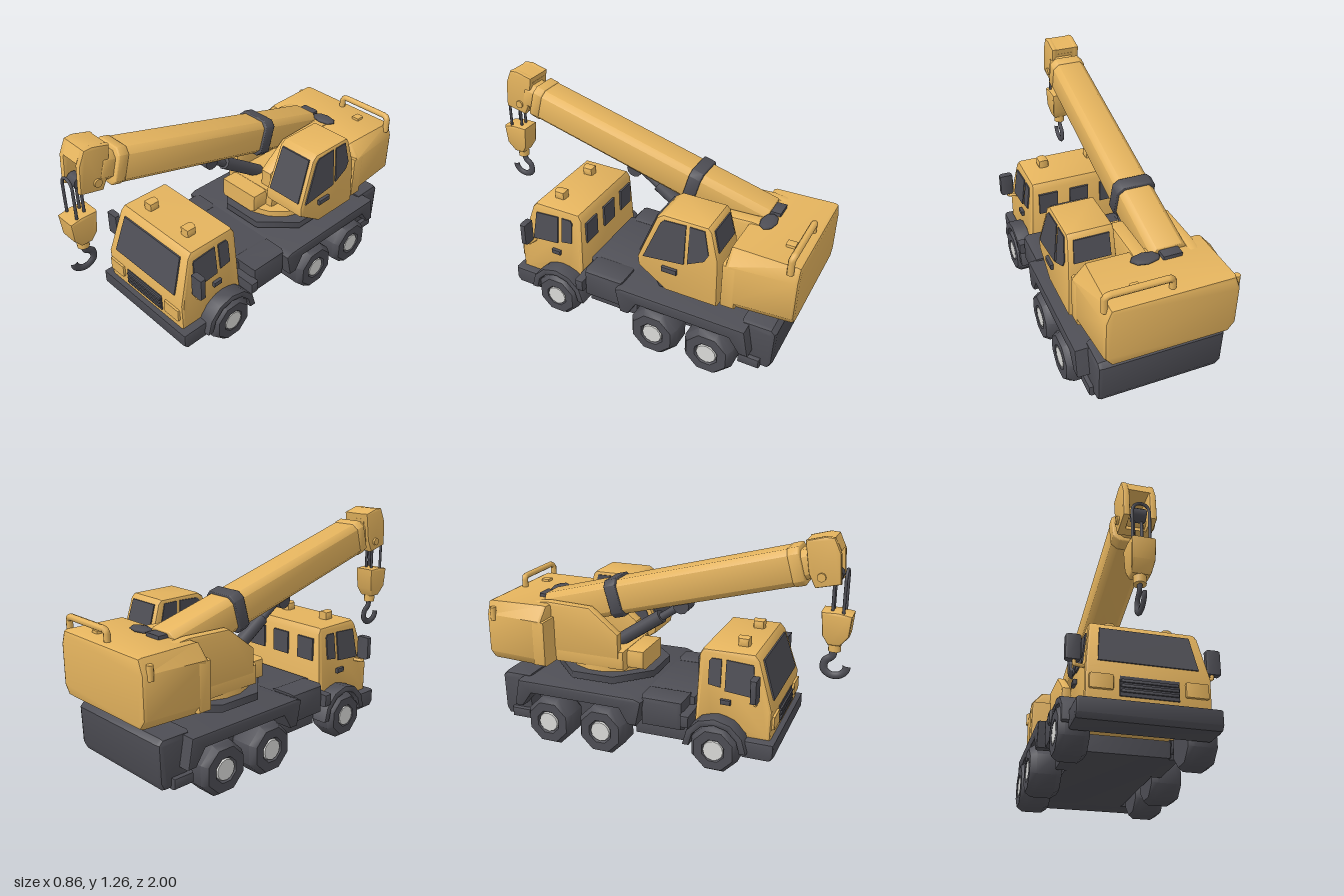
import * as THREE from 'three';
import { toCreasedNormals } from 'three/addons/utils/BufferGeometryUtils.js';

const mat = (name, color) => Object.assign(new THREE.MeshStandardMaterial({ color }), { name });

export function createModel() {
  const model = new THREE.Group();
  model.name = 'mobileCrane';
  const yellow = mat('craneYellow', 0xe5b45e);
  const dark = mat('darkGrey', 0x4e4e55);
  const light = mat('hubGrey', 0xdadad8);

  const add = (name, geo, material, parent = model) => {
    const m = new THREE.Mesh(geo, material);
    m.name = name;
    parent.add(m);
    return m;
  };
  const extrude = (pts, depth, bevel) => new THREE.ExtrudeGeometry(
    new THREE.Shape(pts.map(p => new THREE.Vector2(...p))),
    { depth: depth - 2 * bevel, bevelEnabled: bevel > 0, bevelSize: bevel, bevelThickness: bevel,
      bevelOffset: -bevel, bevelSegments: 2 }).translate(0, 0, bevel);
  // Side profile of [z, y] points, spread from x0 to x1
  const side = (pts, x0, x1, bevel = 0) =>
    toCreasedNormals(extrude(pts, x1 - x0, bevel).rotateY(-Math.PI / 2).translate(x1, 0, 0), 0.7);
  const rect = (a0, a1, b0, b1) => [[a0, b0], [a1, b0], [a1, b1], [a0, b1]];
  const box = (x0, x1, y0, y1, z0, z1, bevel = 0) => side(rect(z0, z1, y0, y1), x0, x1, bevel);
  // Move the vertices of a geometry by a rule
  const warp = (geo, rule) => {
    const p = geo.attributes.position, v = new THREE.Vector3();
    for (let i = 0; i < p.count; i++) {
      v.fromBufferAttribute(p, i);
      rule(v);
      p.setXYZ(i, v.x, v.y, v.z);
    }
    return toCreasedNormals(geo, 0.7);
  };
  const tube = (pts, r, curved = false) => {
    const v = pts.map(p => new THREE.Vector3(...p));
    let path = new THREE.CatmullRomCurve3(v);
    if (!curved) {
      path = new THREE.CurvePath();
      for (let i = 1; i < v.length; i++) path.add(new THREE.LineCurve3(v[i - 1], v[i]));
    }
    return new THREE.TubeGeometry(path, 40, r, 8);
  };
  const rod = (a, b, r) => {
    const A = new THREE.Vector3(...a), d = new THREE.Vector3(...b).sub(A);
    const q = new THREE.Quaternion().setFromUnitVectors(new THREE.Vector3(0, 1, 0), d.clone().normalize());
    return new THREE.CylinderGeometry(r, r, d.length(), 12).applyQuaternion(q).translate(...A.addScaledVector(d, 0.5).toArray());
  };
  const sides = [-1, 1];
  const span = (s, a, b) => s > 0 ? [a, b] : [-b, -a];

  // Chassis
  add('chassis', box(-0.25, 0.25, 0.1, 0.35, -0.9, 0.22, 0.02), dark);
  add('rearBox', side([[-0.74, 0.1], [-0.9, 0.1], [-0.92, 0.14], [-0.925, 0.34], [-0.9, 0.365], [-0.74, 0.365]], -0.345, 0.345, 0.025), dark);
  add('rearFenders', side([[-0.03, 0.34], [-0.07, 0.355], [-0.78, 0.355], [-0.81, 0.2], [-0.76, 0.2], [-0.7, 0.285], [-0.16, 0.285], [-0.11, 0.2], [-0.06, 0.2]], -0.413, 0.413, 0.01), dark);
  add('underPlate', box(-0.3, 0.3, 0.1, 0.19, -0.11, 0.2, 0.01), dark);
  add('crossBeam', box(-0.4, 0.4, 0.23, 0.3, 0.185, 0.235, 0.012), dark);
  for (const s of sides) {
    add('sideTank', box(...span(s, 0.2, 0.375), 0.19, 0.36, -0.05, 0.19, 0.03), dark);
    add('rearStep', box(...span(s, 0.28, 0.37), 0.1, 0.16, -0.86, -0.74, 0.015), dark);
    // Front wheel arch
    const arc = (r, i) => [0.37 + r * Math.cos(i * Math.PI / 6), 0.13 + r * Math.sin(i * Math.PI / 6)];
    const ring = [0, 1, 2, 3, 4, 5, 6];
    add('frontFender', side([...ring.map(i => arc(0.175, i)), ...ring.map(i => arc(0.138, 6 - i))], ...span(s, 0.25, 0.39), 0.006), dark);
  }

  // Wheels
  const wheel = (s, x, z, k, w) => {
    const g = new THREE.Group();
    g.name = 'wheel';
    const tyre = [[0, -0.09], [0.125, -0.09], [0.146, -0.06], [0.146, 0.05], [0.122, 0.085], [0.07, 0.085], [0.06, 0.07], [0, 0.07]]
      .map(([r, y]) => new THREE.Vector2(r * k, y * w));
    add('tyre', toCreasedNormals(new THREE.LatheGeometry(tyre, 8, Math.PI / 8), 0.82), dark, g);
    add('hub', new THREE.CylinderGeometry(0.055, 0.06, 0.02, 12).translate(0, 0.073 * w, 0), light, g);
    g.rotation.z = -s * Math.PI / 2;
    g.position.set(s * x, 0.135 * k, z);
    model.add(g);
  };
  for (const s of sides) {
    wheel(s, 0.322, 0.37, 0.94, 0.88);
    wheel(s, 0.345, -0.267, 1, 1);
    wheel(s, 0.345, -0.588, 1, 1);
  }

  // Driver cab, narrowing towards the roof
  const taper = geo => warp(geo, v => { if (v.y > 0.36) v.x *= 1 - 0.38 * (v.y - 0.36); });
  add('cab', taper(side([[0.65, 0.19], [0.655, 0.36], [0.575, 0.615], [0.55, 0.645], [0.27, 0.645], [0.25, 0.61], [0.235, 0.2],
    [0.245, 0.19], [0.27, 0.26], [0.33, 0.29], [0.41, 0.29], [0.48, 0.25], [0.5, 0.19]], -0.31, 0.31, 0.016)), yellow);
  add('cabFloor', box(-0.22, 0.22, 0.18, 0.36, 0.25, 0.63), yellow);
  add('bumper', side([[0.66, 0.095], [0.68, 0.12], [0.68, 0.195], [0.51, 0.195], [0.51, 0.095]], -0.355, 0.355, 0.015), dark);
  add('windscreen', taper(side([[0.644, 0.4], [0.652, 0.4], [0.587, 0.605], [0.575, 0.605]], -0.252, 0.252)), dark);
  add('grille', box(-0.145, 0.145, 0.225, 0.325, 0.645, 0.659), dark);
  for (const y of [0.25, 0.275, 0.3]) add('grilleBar', box(-0.14, 0.14, y - 0.007, y + 0.007, 0.655, 0.668, 0.003), dark);
  for (const x of [-0.19, 0, 0.19]) add('cabBackWindow', box(x - 0.057, x + 0.057, 0.455, 0.585, 0.235, 0.247), dark);
  for (const s of sides) {
    add('headlight', box(...span(s, 0.175, 0.292), 0.25, 0.325, 0.64, 0.667, 0.008), yellow);
    add('cabFrontWindow', taper(side([[0.545, 0.59], [0.4, 0.6], [0.4, 0.435], [0.565, 0.42]], ...span(s, 0.308, 0.316))), dark);
    add('cabRearWindow', taper(side([[0.375, 0.6], [0.32, 0.6], [0.308, 0.585], [0.308, 0.46], [0.375, 0.45]], ...span(s, 0.308, 0.316))), dark);
    add('cabDoorHandle', box(...span(s, 0.3, 0.322), 0.362, 0.39, 0.38, 0.435, 0.005), dark);
    add('mirror', box(...span(s, 0.312, 0.395), 0.42, 0.553, 0.555, 0.592, 0.015), dark);
    add('mirrorArm', tube([[s * 0.28, 0.4, 0.56], [s * 0.345, 0.4, 0.575], [s * 0.35, 0.44, 0.575]], 0.01), yellow);
    add('beacon', box(s * 0.15 - 0.033, s * 0.15 + 0.033, 0.635, 0.692, 0.425, 0.49, 0.02), yellow);
  }

  // Turntable and slewing body
  const disc = (name, r, y, h, n, m) => add(name, new THREE.CylinderGeometry(r, r, h, n).rotateY(Math.PI / n).translate(0, y, -0.37), m);
  disc('turntable', 0.324, 0.39, 0.04, 8, dark);
  disc('turntableHub', 0.24, 0.36, 0.05, 16, dark);
  disc('slewRing', 0.25, 0.425, 0.04, 16, yellow);
  add('slewBase', box(-0.25, 0.12, 0.43, 0.545, -0.7, -0.2, 0.02), yellow);
  add('slewNose', box(-0.2, 0.075, 0.43, 0.543, -0.26, -0.1, 0.025), yellow);
  const bracket = [[-0.23, 0.5], [-0.23, 0.64], [-0.4, 0.775], [-0.66, 0.785], [-0.78, 0.77], [-0.78, 0.5]];
  add('boomBracket', side(bracket, -0.255, -0.2, 0.01), yellow);
  add('boomBracket', side(bracket, 0, 0.075, 0.01), yellow);
  add('bodyFlange', box(-0.37, 0.37, 0.44, 0.7, -0.7, -0.62, 0.015), yellow);
  // Counterweight, narrowing to the rear, its top narrowing to the front
  add('counterweight', warp(extrude([[-0.33, 0.43], [0.33, 0.43], [0.37, 0.48], [0.37, 0.7], [0.34, 0.775], [-0.34, 0.775], [-0.37, 0.7], [-0.37, 0.48]], 0.365, 0.02).translate(0, 0, -1),
    v => { v.x *= 1 + 0.25 * Math.min(0, v.z + 0.7) - (v.y > 0.74 ? 0.3 * (v.z + 1) : 0); }), yellow);
  add('handRail', tube([[0.33, 0.74, -0.95], [0.33, 0.82, -0.95], [0.31, 0.835, -0.955], [0.01, 0.835, -0.955], [-0.005, 0.82, -0.95], [-0.005, 0.74, -0.95]], 0.018), yellow);
  add('cornerPost', rod([-0.342, 0.67, -0.955], [-0.342, 0.745, -0.955], 0.017), yellow);
  add('hatch', box(0.13, 0.18, 0.76, 0.79, -0.92, -0.87, 0.008), yellow);
  add('exhaust', new THREE.SphereGeometry(1, 8, 6).scale(0.08, 0.014, 0.045).translate(0.03, 0.785, -0.73), dark);
  add('winch', box(-0.155, -0.05, 0.75, 0.795, -0.765, -0.69, 0.008), dark);

  // Operator cab
  const lean = geo => warp(geo, v => { if (v.y > 0.6 && v.x > 0.2) v.x -= 0.08 * (v.y - 0.6); });
  add('operatorCab', lean(side([[-0.255, 0.855], [-0.29, 0.88], [-0.535, 0.88], [-0.555, 0.86], [-0.6, 0.7], [-0.61, 0.43], [-0.32, 0.43], [-0.16, 0.54], [-0.155, 0.595]], 0.115, 0.38, 0.014)), yellow);
  add('operatorWindscreen', lean(side([[-0.163, 0.62], [-0.155, 0.62], [-0.246, 0.855], [-0.256, 0.855]], 0.14, 0.355)), dark);
  add('operatorBackWindow', lean(side([[-0.583, 0.74], [-0.595, 0.74], [-0.563, 0.855], [-0.55, 0.855]], 0.145, 0.35)), dark);
  const panes = [[[-0.28, 0.835], [-0.3, 0.855], [-0.42, 0.86], [-0.42, 0.635], [-0.19, 0.61]],
    [[-0.44, 0.86], [-0.52, 0.86], [-0.55, 0.73], [-0.53, 0.69], [-0.44, 0.645]]];
  for (const p of panes) {
    add('operatorSideWindow', lean(side(p, 0.377, 0.385)), dark);
    add('operatorInnerWindow', side(p, 0.11, 0.118), dark);
  }
  add('operatorDoorHandle', box(0.37, 0.393, 0.555, 0.585, -0.385, -0.3, 0.006), dark);

  // Boom, built level along z and then raised
  const boom = new THREE.Group();
  boom.name = 'boom';
  boom.position.set(-0.105, 1.1, 0.74);
  boom.rotation.x = -0.265;
  model.add(boom);
  const beam = (name, w, h, z0, z1, m) => {
    const c = 0.03;
    add(name, toCreasedNormals(extrude([[-w + c, -h], [w - c, -h], [w, -h + c], [w, h - c], [w - c, h], [-w + c, h], [-w, h - c], [-w, -h + c]],
      z1 - z0, 0.006).translate(0, 0, z0), 0.8), m, boom);
  };
  beam('mainBoom', 0.095, 0.096, -1.48, -0.04, yellow);
  beam('boomCollar', 0.098, 0.099, -0.06, 0, yellow);
  beam('boomNeck', 0.075, 0.075, -0.01, 0.07, yellow);
  beam('boomBand', 0.108, 0.108, -1.085, -1.015, dark);

  // Boom head with open front
  const head = [[0.89, 1.255], [0.845, 1.258], [0.75, 1.232], [0.775, 1.07], [0.81, 1], [0.936, 1.03], [0.925, 1.18]];
  add('headCheek', side(head, -0.2, -0.165, 0.01), yellow);
  add('headCheek', side(head, -0.068, -0.033, 0.01), yellow);
  add('headTop', side([[0.888, 1.253], [0.845, 1.256], [0.752, 1.23], [0.76, 1.18], [0.922, 1.19]], -0.17, -0.06), yellow);
  add('headBack', side([[0.755, 1.2], [0.777, 1.07], [0.812, 1.002], [0.85, 1.012], [0.815, 1.08], [0.8, 1.2]], -0.17, -0.06), yellow);
  add('headPin', rod([-0.212, 1.06, 0.84], [-0.022, 1.06, 0.84], 0.022), yellow);
  add('pulley', rod([-0.15, 1.06, 0.9], [-0.085, 1.06, 0.9], 0.035), dark);

  // Cables, block and hook
  for (const [z, r] of [[0.952, 0.042], [0.895, 0.02]]) {
    const arch = [0, 1, 2, 3, 4, 5, 6].map(i => [-0.12 + r * Math.cos(i * Math.PI / 6), 1.05 + r * Math.sin(i * Math.PI / 6), z]);
    add('cable', tube([[-0.12 + r, 0.86, z], ...arch, [-0.12 - r, 0.86, z]], 0.008), dark);
  }
  add('hookBlock', warp(side([[0.998, 0.87], [0.93, 0.882], [0.845, 0.88], [0.855, 0.755], [0.885, 0.705], [0.945, 0.705], [0.988, 0.76]], -0.18, -0.06, 0.012),
    v => { if (v.y < 0.78) v.x = -0.12 + (v.x + 0.12) * (1 - 3 * (0.78 - v.y)); }), yellow);
  add('hookNeck', rod([-0.12, 0.665, 0.915], [-0.12, 0.71, 0.915], 0.032), yellow);
  const hook = tube([[0, 0.67, 0.912], [0, 0.635, 0.905], [0, 0.605, 0.872], [0, 0.56, 0.868], [0, 0.532, 0.905], [0, 0.537, 0.95], [0, 0.565, 0.978], [0, 0.59, 0.982]], 0.02, true);
  add('hook', hook.scale(0.6, 1, 1).translate(-0.12, 0, 0), dark);

  // Lifting ram
  add('ramRod', rod([-0.105, 0.815, 0.1], [-0.105, 0.69, -0.08], 0.022), dark);
  add('ramCylinder', rod([-0.105, 0.73, -0.03], [-0.105, 0.54, -0.31], 0.038), dark);
  add('ramPin', rod([-0.155, 0.815, 0.1], [-0.055, 0.815, 0.1], 0.045), dark);
  return model;
}
